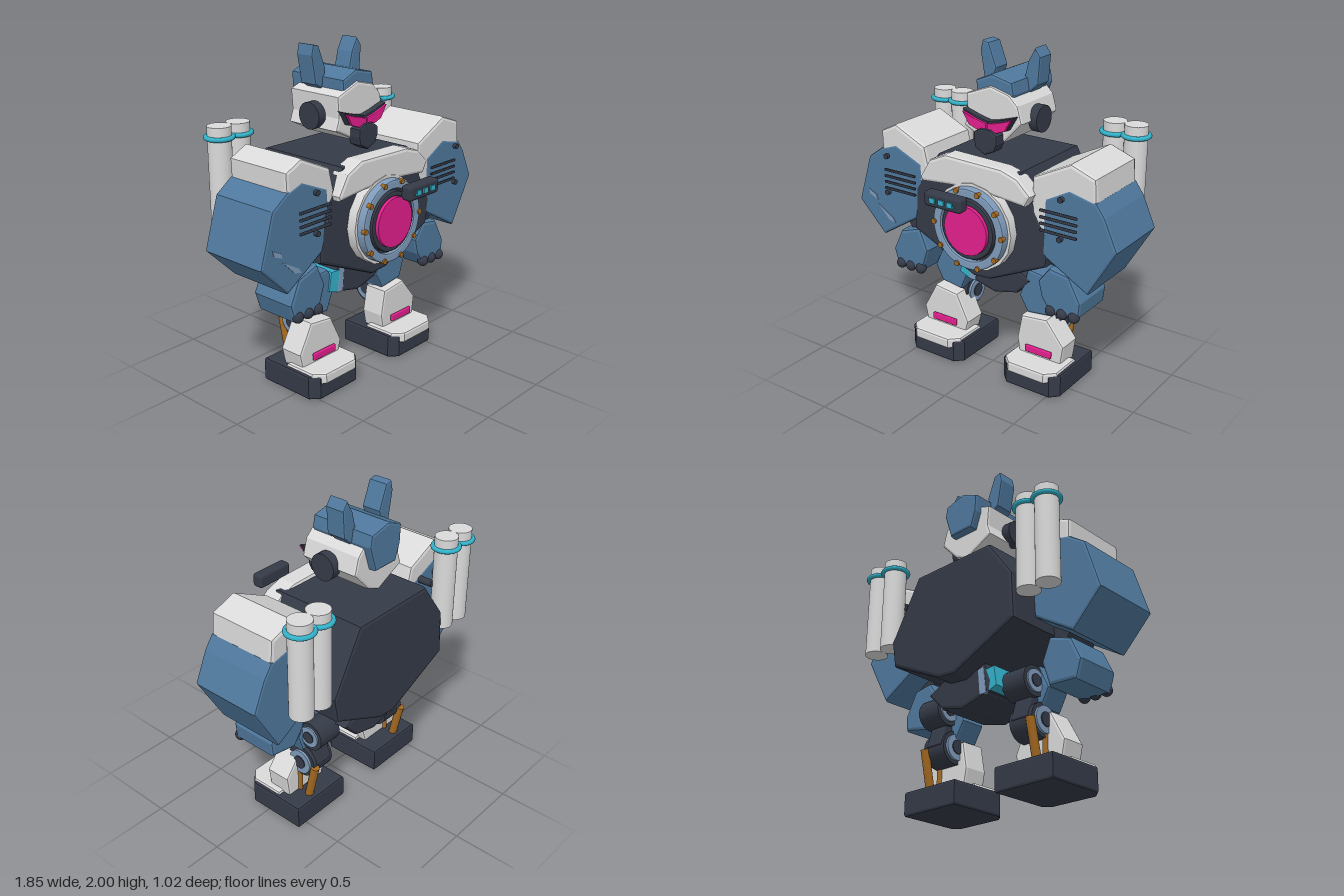
import * as THREE from 'three';
import { RoundedBoxGeometry } from 'three/addons/geometries/RoundedBoxGeometry.js';

const mat = (name, color) => Object.assign(new THREE.MeshStandardMaterial({ color }), { name });

export function createModel() {
  const model = new THREE.Group();
  model.name = 'robot';
  const blue = mat('armour blue', 0x4f789d);
  const white = mat('armour white', 0xdadadb);
  const dark = mat('frame dark', 0x343a47);
  const steel = mat('steel', 0x7f9bbb);
  const pink = mat('glow pink', 0xe31f8e);
  const cyan = mat('glow cyan', 0x33b2ca);
  const orange = mat('brass', 0xa56a22);

  const add = (name, geo, material, x = 0, y = 0, z = 0) => {
    const m = new THREE.Mesh(geo, material);
    m.name = name;
    m.position.set(x, y, z);
    model.add(m);
    return m;
  };
  // Bevelled plate: front outline [x, y] spanning z0 to z1
  const plate = (name, pts, z0, z1, material, bevel = 0.015) => {
    const shape = new THREE.Shape(pts.map(p => new THREE.Vector2(...p)));
    const geo = new THREE.ExtrudeGeometry(shape, {
      depth: z1 - z0 - 2 * bevel, bevelEnabled: bevel > 0, bevelSize: bevel,
      bevelThickness: bevel, bevelOffset: -bevel, bevelSegments: 2,
    });
    return add(name, geo, material, 0, 0, z0 + bevel);
  };
  const box = (name, w, h, d, material, x, y, z, r = 0.01) =>
    add(name, new RoundedBoxGeometry(w, h, d, 2, r), material, x, y, z);
  const rod = (name, r, len, material, x, y, z, axis = 'y', sides = 32) => {
    const geo = new THREE.CylinderGeometry(r, r, len, sides);
    if (axis === 'x') geo.rotateZ(Math.PI / 2);
    if (axis === 'z') geo.rotateX(Math.PI / 2);
    return add(name, geo, material, x, y, z);
  };
  const ring = (name, outer, inner, z0, z1, material) => {
    const s = new THREE.Shape().absarc(0, 0, outer, 0, Math.PI * 2);
    s.holes.push(new THREE.Path().absarc(0, 0, inner, 0, Math.PI * 2, true));
    const geo = new THREE.ExtrudeGeometry(s, {
      depth: z1 - z0 - 0.02, bevelSize: 0.01, bevelThickness: 0.01, bevelOffset: -0.01,
      bevelSegments: 2, curveSegments: 24,
    });
    return add(name, geo, material, 0.01, 1, z0 + 0.01);
  };

  // Torso, collar and pelvis
  plate('torso', [[-0.29, 1.37], [0.29, 1.37], [0.5, 1.0], [0.47, 0.84], [0.09, 0.66],
    [-0.03, 0.65], [-0.48, 0.85], [-0.465, 1.13]], -0.475, 0.16, dark, 0.02);
  plate('collar', [[-0.31, 1.345], [-0.19, 1.4], [0.2, 1.39], [0.31, 1.355], [0.4, 1.27], [0.36, 1.2],
    [0.15, 1.22], [-0.15, 1.22], [-0.37, 1.2], [-0.38, 1.23]], 0.09, 0.215, white, 0.02);
  plate('pelvis', [[-0.16, 0.72], [0.12, 0.72], [0.28, 0.635], [0.17, 0.525], [0.01, 0.485],
    [-0.2, 0.535], [-0.21, 0.6]], -0.365, 0, dark, 0.02);
  plate('hipLight', [[-0.23, 0.68], [-0.15, 0.67], [-0.17, 0.53], [-0.25, 0.56]], -0.36, 0.006, cyan, 0.004);
  plate('hipTrim', [[-0.16, 0.69], [-0.115, 0.68], [-0.13, 0.53], [-0.18, 0.53]], -0.368, 0.007, steel, 0.004);

  // Chest reactor
  rod('reactorBase', 0.27, 0.12, white, 0.01, 1, 0.16, 'z', 16);
  ring('reactorRing', 0.25, 0.195, 0.2, 0.272, steel);
  rod('reactorWell', 0.205, 0.06, dark, 0.01, 1, 0.215, 'z', 40);
  ring('reactorInnerRing', 0.183, 0.15, 0.22, 0.275, dark);
  rod('reactorCore', 0.152, 0.05, pink, 0.01, 1, 0.267, 'z', 20);
  for (let i = 0; i < 10; i++) {
    const a = (i / 10) * Math.PI * 2;
    rod('reactorBolt', 0.017, 0.03, orange, 0.01 + Math.cos(a) * 0.24, 1 + Math.sin(a) * 0.24, 0.267, 'z', 8);
  }
  box('statusPanel', 0.255, 0.088, 0.075, dark, 0.01, 1.243, 0.466, 0.02);
  for (const x of [-0.051, 0.01, 0.071])
    add('statusLight', new THREE.BoxGeometry(0.038, 0.03, 0.009), cyan, x, 1.243, 0.508);

  // Head
  plate('head', [[-0.18, 1.725], [-0.01, 1.79], [0.12, 1.757], [0.18, 1.7], [0.208, 1.6], [0.09, 1.475],
    [0, 1.435], [-0.195, 1.53], [-0.17, 1.6]], -0.36, 0.02, white, 0.015);
  plate('helmet', [[-0.12, 1.81], [-0.01, 1.857], [0.13, 1.825], [0.142, 1.755], [0.09, 1.6], [-0.08, 1.6],
    [-0.115, 1.7]], -0.41, 0.005, blue, 0.015);
  plate('rightEar', [[-0.19, 2], [-0.145, 1.99], [-0.09, 1.85], [-0.125, 1.74], [-0.175, 1.77],
    [-0.205, 1.94]], -0.278, -0.155, blue, 0.012);
  plate('leftEar', [[0.175, 2], [0.212, 1.95], [0.2, 1.79], [0.145, 1.74], [0.095, 1.78],
    [0.13, 1.92]], -0.278, -0.155, blue, 0.012);
  for (const x of [-0.203, 0.217]) rod('earDisc', 0.08, 0.055, dark, x, 1.6, -0.16, 'x');
  plate('mouthGuard', [[-0.075, 1.53], [-0.03, 1.555], [0.04, 1.555], [0.085, 1.525], [0.085, 1.475],
    [0.065, 1.43], [0, 1.4], [-0.065, 1.435], [-0.075, 1.48]], 0, 0.09, dark, 0.012);
  for (const s of [-1, 1]) {
    plate('brow', [[0, 1.597], [0.07, 1.612], [0.18, 1.645], [0.13, 1.56], [0, 1.54]]
      .map(([x, y]) => [s * x + 0.005, y]), 0.005, 0.06, dark, 0.004);
    plate('eye', [[0.003, 1.585], [0.07, 1.6], [0.172, 1.634], [0.125, 1.56], [0.07, 1.54], [0.003, 1.545]]
      .map(([x, y]) => [s * x + 0.005, y]), 0.04, 0.075, pink, 0.005);
  }

  // Shoulders and arms, posed a little differently on each side
  plate('rightShoulder', [[-0.72, 1.31], [-0.725, 1.435], [-0.61, 1.492], [-0.39, 1.39], [-0.342, 1.19],
    [-0.4, 1.06], [-0.7, 1.08]], -0.29, 0.157, white, 0.02);
  plate('leftShoulder', [[0.375, 1.37], [0.62, 1.492], [0.775, 1.435], [0.785, 1.3], [0.75, 1.08],
    [0.45, 1.055], [0.37, 1.1]], -0.29, 0.157, white, 0.02);
  plate('rightUpperArm', [[-0.61, 1.365], [-0.415, 1.28], [-0.4, 1.1], [-0.46, 0.92], [-0.73, 0.75],
    [-0.925, 0.945], [-0.83, 1.25], [-0.725, 1.325]], -0.293, 0.16, blue, 0.015);
  plate('leftUpperArm', [[0.615, 1.345], [0.785, 1.305], [0.84, 1.23], [0.922, 1.05], [0.75, 0.75],
    [0.445, 0.92], [0.46, 1.26]], -0.293, 0.16, blue, 0.015);
  plate('rightForearm', [[-0.62, 0.79], [-0.47, 0.84], [-0.41, 0.7], [-0.46, 0.55], [-0.65, 0.54],
    [-0.685, 0.65]], -0.175, 0.13, blue, 0.02);
  plate('leftForearm', [[0.405, 0.73], [0.48, 0.83], [0.61, 0.81], [0.69, 0.66], [0.68, 0.57],
    [0.5, 0.535], [0.43, 0.63]], -0.175, 0.13, blue, 0.02);
  plate('armScratch', [[-0.84, 1.035], [-0.78, 1.005], [-0.77, 0.975], [-0.83, 1.0]], 0.158, 0.164, steel, 0);
  plate('armScratch', [[-0.77, 0.95], [-0.65, 0.88], [-0.63, 0.85], [-0.68, 0.86]], 0.158, 0.164, steel, 0);

  for (const s of [-1, 1]) {
    const o = 0.012; // small sideways offset of the limbs
    const X = x => s * x + o;
    rod('elbow', 0.07, 0.22, dark, X(0.53), 0.86, -0.03, 'z', 16);
    for (const f of [0.483, 0.56, 0.637])
      add('finger', new THREE.SphereGeometry(0.035, 16, 12), dark, X(f), 0.565, 0.12);
    // Arm vents and bolts
    for (const y of [1.208, 1.168, 1.13, 1.09]) box('armVent', 0.24, 0.016, 0.016, dark, X(0.562), y, 0.198, 0.005);
    for (const y of [1.322, 1.092]) rod('armBolt', 0.017, 0.024, dark, X(0.61), y, 0.255, 'z', 12);
    // Back canisters with glowing bands and short mounts
    for (const c of [0.553, 0.69]) {
      rod('canister', 0.069, 0.585, white, X(c), 1.2925, -0.42);
      const band = add('canisterBand', new THREE.TorusGeometry(0.077, 0.014, 10, 36), cyan, X(c), 1.52, -0.42);
      band.rotation.x = Math.PI / 2;
      rod('canisterMount', 0.022, 0.12, dark, X(c - 0.06), 1.28, -0.32, 'z', 12);
    }

    // Leg joints
    rod('hipJoint', 0.09, 0.16, dark, X(0.33), 0.585, -0.215, 'x');
    rod('hipCap', 0.066, 0.18, steel, X(0.33), 0.585, -0.215, 'x');
    rod('hipPin', 0.037, 0.192, dark, X(0.33), 0.585, -0.215, 'x', 16);
    rod('kneeJoint', 0.1, 0.16, dark, X(0.335), 0.375, -0.15, 'x');
    rod('kneeCap', 0.078, 0.19, steel, X(0.335), 0.375, -0.15, 'x');
    rod('kneePin', 0.042, 0.202, dark, X(0.335), 0.375, -0.15, 'x', 16);
    box('legLink', 0.12, 0.24, 0.09, dark, X(0.33), 0.48, -0.18).rotation.x = 0.3;
    rod('rearPiston', 0.026, 0.25, orange, X(0.405), 0.25, -0.225, 'y', 12).rotation.x = -0.22;
    rod('frontPiston', 0.02, 0.2, orange, X(0.405), 0.23, -0.125, 'y', 12);

    // Feet
    const foot = (hw, zb, zf, c) => [[-hw, zb], [hw, zb], [hw, zf - c], [hw - c, zf], [c - hw, zf], [-hw, zf - c]]
      .map(([x, z]) => [x, -z]);
    const sole = plate('foot', foot(0.203, -0.255, 0.165, 0.05), 0, 0.15, dark, 0.015);
    const toe = plate('toeCap', foot(0.185, -0.08, 0.187, 0.06), 0, 0.07, white, 0.015);
    for (const [m, y] of [[sole, 0.015], [toe, 0.113]]) {
      m.rotation.x = -Math.PI / 2;
      m.position.set(X(0.355), y, 0);
    }
    box('shinLight', 0.182, 0.044, 0.02, pink, X(0.355), 0.213, 0.048, 0.006);
  }

  // Thighs and shins
  plate('rightThigh', [[-0.39, 0.69], [-0.25, 0.7], [-0.18, 0.6], [-0.255, 0.43], [-0.4, 0.45],
    [-0.455, 0.55]], -0.17, -0.005, blue, 0.015);
  plate('leftThigh', [[0.25, 0.71], [0.4, 0.69], [0.465, 0.57], [0.42, 0.44], [0.25, 0.42],
    [0.19, 0.52]], -0.17, -0.005, blue, 0.015);
  plate('rightShin', [[-0.43, 0.425], [-0.26, 0.405], [-0.175, 0.23], [-0.2, 0.14], [-0.5, 0.14],
    [-0.525, 0.25]], -0.13, 0.03, white, 0.015);
  plate('leftShin', [[0.23, 0.41], [0.41, 0.43], [0.53, 0.28], [0.51, 0.14], [0.22, 0.14],
    [0.2, 0.25]], -0.13, 0.03, white, 0.015);

  return model;
}
